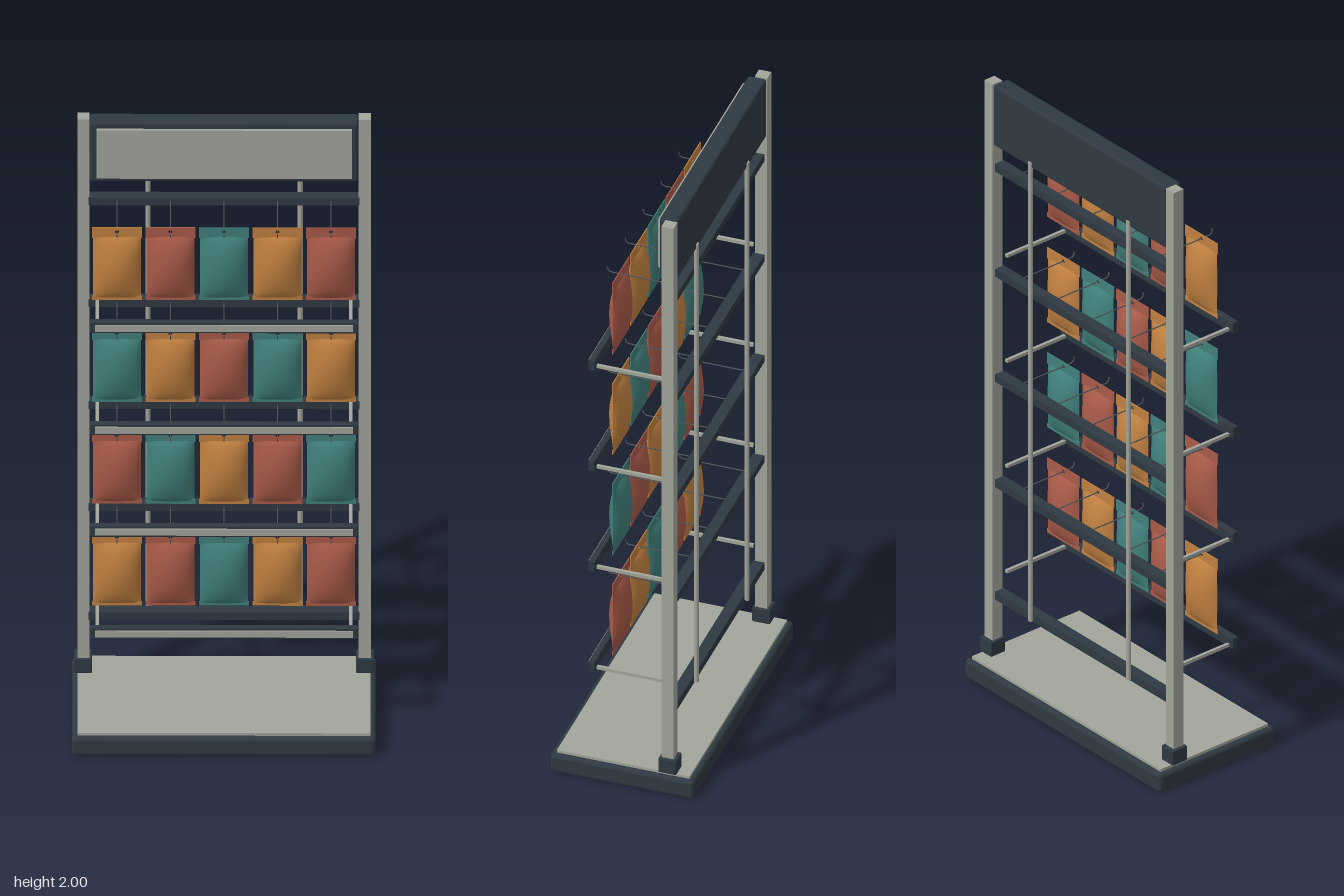
import * as THREE from 'three';
import { RoundedBoxGeometry } from 'three/addons/geometries/RoundedBoxGeometry.js';

const mat = (name, color, side = THREE.FrontSide) => {
  const m = new THREE.MeshStandardMaterial({ color, side });
  m.name = name;
  return m;
};

// Pillow half: a plane bulged into a lens in both directions
function pillowSide(w, h, depth, sign) {
  const g = new THREE.PlaneGeometry(w, h, 20, 20);
  const p = g.attributes.position;
  for (let i = 0; i < p.count; i++) {
    const u = (2 * p.getX(i)) / w, v = (2 * p.getY(i)) / h;
    const bulge = Math.pow(Math.max(0, 1 - u * u), 0.8) * Math.pow(Math.max(0, 1 - v * v), 0.75);
    p.setZ(i, depth * bulge);
  }
  if (sign < 0) g.rotateY(Math.PI);
  g.computeVertexNormals();
  return g;
}

// Top seal of a bag with a punched hanging hole
function hangSeal(w, h, t) {
  const s = new THREE.Shape();
  s.moveTo(-w / 2, -h / 2);
  s.lineTo(w / 2, -h / 2);
  s.lineTo(w / 2, h / 2);
  s.lineTo(-w / 2, h / 2);
  s.closePath();
  const hole = new THREE.Path();
  hole.absarc(0, 0.003, 0.006, 0, Math.PI * 2, true);
  s.holes.push(hole);
  const g = new THREE.ExtrudeGeometry(s, { depth: t, bevelEnabled: false, curveSegments: 8 });
  return g.translate(0, 0, -t / 2);
}

export function createModel() {
  const root = new THREE.Group();
  root.name = 'displayRack';
  const dark = mat('darkFrame', 0x2f3942);
  const light = mat('lightMetal', 0xa2a59b);
  const wire = mat('hookWire', 0x50565a);
  const bagMats = [
    mat('amberBag', 0xc08040),
    mat('rustBag', 0xa85a48),
    mat('tealBag', 0x407f7b),
  ];

  const add = (parent, name, geo, m, x = 0, y = 0, z = 0) => {
    const mesh = new THREE.Mesh(geo, m);
    mesh.name = name;
    mesh.position.set(x, y, z);
    parent.add(mesh);
    return mesh;
  };
  const box = (parent, name, m, w, h, d, x, y, z) =>
    add(parent, name, new THREE.BoxGeometry(w, h, d), m, x, y, z);
  const rounded = (parent, name, m, w, h, d, r, x, y, z) =>
    add(parent, name, new RoundedBoxGeometry(w, h, d, 3, r), m, x, y, z);

  // Base
  rounded(root, 'base', dark, 0.886, 0.063, 0.444, 0.012, 0, 0.0315, 0);
  box(root, 'baseTop', light, 0.854, 0.012, 0.41, 0, 0.066, 0);

  // Posts, shoes and thin rear rods
  for (const s of [-1, 1]) {
    box(root, 'post', light, 0.036, 1.93, 0.038, 0.41 * s, 1.035, -0.137);
    rounded(root, 'postShoe', dark, 0.052, 0.05, 0.056, 0.004, 0.411 * s, 0.097, -0.139);
    add(root, 'rearRod', new THREE.CylinderGeometry(0.0075, 0.0075, 1.55, 12), light, 0.222 * s, 1.04, -0.154);
  }

  // Header sign and lower cross bar
  rounded(root, 'headerFrame', dark, 0.782, 0.205, 0.057, 0.008, 0, 1.8975, -0.1265);
  box(root, 'headerPanel', light, 0.745, 0.168, 0.012, 0, 1.8975, -0.094);
  box(root, 'lowerCrossBar', dark, 0.79, 0.026, 0.034, 0, 0.271, -0.13);

  // Shared bag and hook geometry
  const front = pillowSide(0.14, 0.215, 0.03, 1);
  const back = pillowSide(0.14, 0.215, 0.03, -1);
  const seal = hangSeal(0.146, 0.036, 0.003);
  const hookCurve = new THREE.CatmullRomCurve3([
    [0, 0, -0.12], [0, 0, -0.02], [0, 0, 0.07], [0, 0.001, 0.082], [0, 0.008, 0.088], [0, 0.018, 0.089],
  ].map((p) => new THREE.Vector3(...p)));
  const hookGeo = new THREE.TubeGeometry(hookCurve, 30, 0.002, 6, false);

  // Four tiers: hook bar, hanging bags and front rail
  for (let row = 0; row < 4; row++) {
    const tier = new THREE.Group();
    tier.name = 'tier';
    tier.position.y = 1.717 - 0.3555 * row;
    root.add(tier);

    box(tier, 'hookBar', dark, 0.79, 0.025, 0.034, 0, 0, -0.13);
    rounded(tier, 'frontRail', dark, 0.782, 0.038, 0.02, 0.003, 0, -0.287, 0.111);
    box(tier, 'railStrip', light, 0.752, 0.022, 0.006, 0, -0.287, 0.122);
    for (const s of [-1, 1])
      box(tier, 'railArm', light, 0.01, 0.01, 0.225, 0.37 * s, -0.298, -0.009);

    for (let i = 0; i < 5; i++) {
      const x = (i - 2) * 0.156;
      const m = bagMats[(i + 2 * row) % 3];
      add(tier, 'hook', hookGeo, wire, x, 0.002, 0);
      const bag = new THREE.Group();
      bag.name = 'bag';
      bag.position.set(x, 0, 0.048);
      tier.add(bag);
      add(bag, 'bagFront', front, m, 0, -0.122, 0);
      add(bag, 'bagBack', back, m, 0, -0.122, 0);
      add(bag, 'bagTopSeal', seal, m, 0, -0.002, 0);
      box(bag, 'bagBottomSeal', m, 0.146, 0.014, 0.003, 0, -0.229, 0);
    }
  }
  return root;
}
